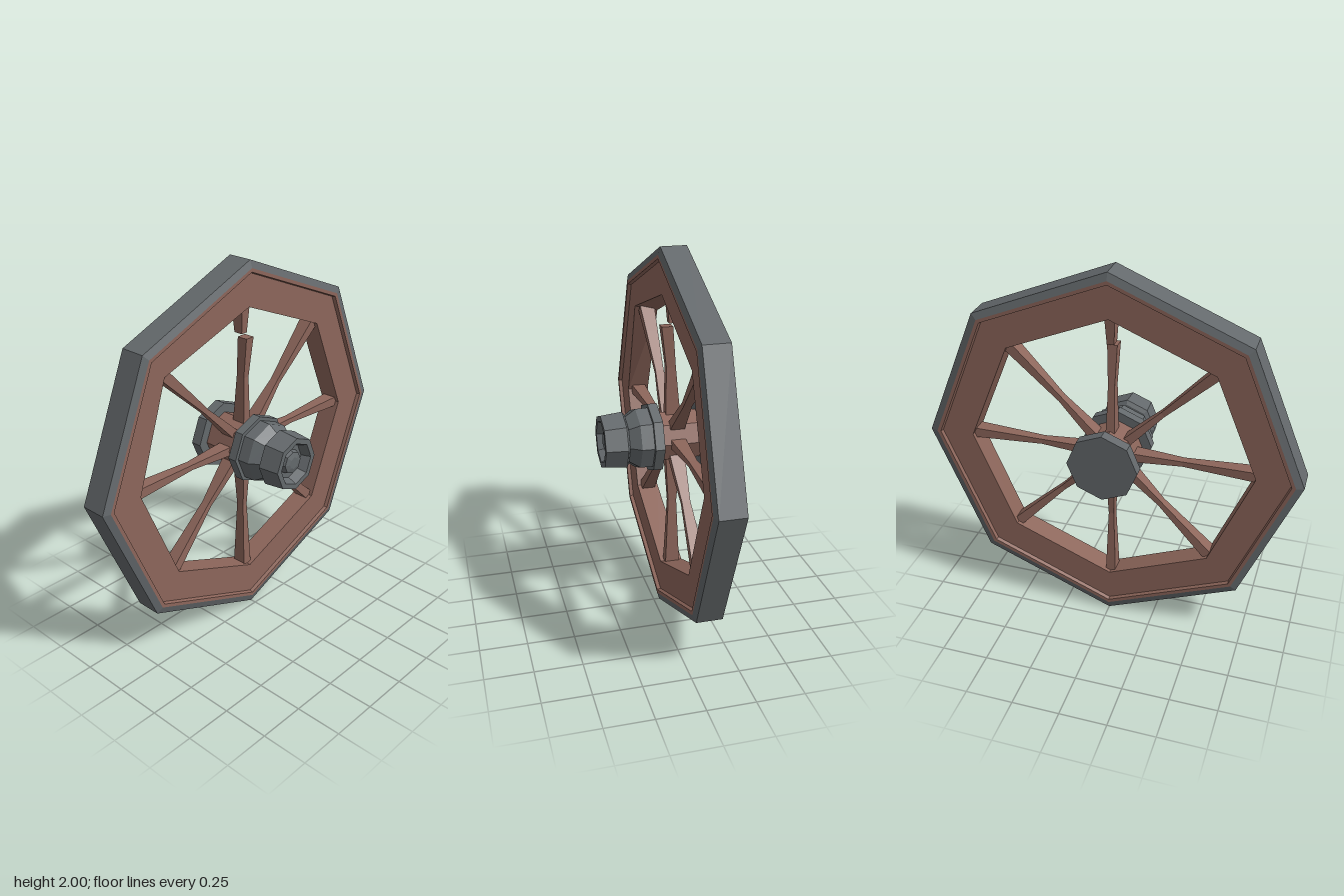
import * as THREE from 'three';

const AXIS_X = -0.1; // plane of the rim and spokes

export function createModel() {
  const wood = new THREE.MeshStandardMaterial({ color: 0x8d665b, flatShading: true });
  wood.name = 'wood';
  const iron = new THREE.MeshStandardMaterial({ color: 0x64696c, flatShading: true });
  iron.name = 'iron';

  const wheel = new THREE.Group();
  wheel.name = 'wheel';
  wheel.position.y = 1;

  const add = (name, geometry, material) => {
    const mesh = new THREE.Mesh(geometry, material);
    mesh.name = name;
    wheel.add(mesh);
    return mesh;
  };

  // Eight-sided turning about the x axis from [x, radius] pairs
  const turned = (profile) =>
    new THREE.LatheGeometry(profile.map(([x, r]) => new THREE.Vector2(r, x)), 8).rotateZ(-Math.PI / 2);

  // Bar along y from sections [radius, width, depth, sideways shift]
  const bar = (sections) => {
    const n = sections.length - 1;
    const geometry = new THREE.BoxGeometry(1, 1, 1, 1, n, 1);
    const p = geometry.attributes.position;
    for (let i = 0; i < p.count; i++) {
      const [r, w, d, shift = 0] = sections[Math.round((p.getY(i) + 0.5) * n)];
      p.setXYZ(i, AXIS_X + shift + p.getX(i) * d, r, p.getZ(i) * w);
    }
    geometry.computeVertexNormals();
    return geometry;
  };

  // Tyre with chamfered edges
  add('tyre', turned([[-0.18, 0.96], [-0.168, 1], [-0.032, 1], [-0.02, 0.96]]), iron);

  // Wooden rim with recessed side faces and one worn inner corner
  const rim = turned([
    [-0.02, 0.96], [-0.02, 0.94], [-0.04, 0.935], [-0.04, 0.76],
    [-0.16, 0.76], [-0.16, 0.935], [-0.18, 0.94], [-0.18, 0.96],
  ]);
  const p = rim.attributes.position;
  for (let i = 0; i < p.count; i++) {
    const y = p.getY(i), z = p.getZ(i);
    if (p.getX(i) > -0.05 && Math.hypot(y, z) < 0.8 && y > 0.3 && z > 0.3) {
      p.setY(i, y * 1.04);
      p.setZ(i, z * 1.07);
    }
  }
  add('rim', rim, wood);

  // Spokes, waisted in the middle
  const whole = [[0.1, 0.05, 0.08], [0.2, 0.042, 0.07], [0.38, 0.028, 0.045], [0.62, 0.045, 0.065], [0.78, 0.055, 0.08]];
  for (let k = 1; k < 8; k++) {
    add('spoke', bar(whole), wood).rotation.x = (k * Math.PI) / 4;
  }

  // Snapped top spoke: bent lower piece and a stub under the rim
  add('brokenSpoke', bar([
    [0.1, 0.05, 0.08], [0.2, 0.042, 0.07, 0.005], [0.38, 0.035, 0.05, 0.012], [0.6, 0.052, 0.06, 0.035],
  ]), wood);
  add('brokenSpokeStub', bar([[0.615, 0.037, 0.05], [0.78, 0.055, 0.08]]), wood);

  // Hub: wooden core, back cap, stepped front sleeve with hollow end
  add('hubCore', turned([[-0.23, 0.135], [-0.01, 0.135]]), wood);
  add('hubBackCap', turned([[-0.285, 0], [-0.285, 0.187], [-0.225, 0.187], [-0.225, 0.1]]), iron);
  add('hubFrontSleeve', turned([
    [-0.015, 0.1], [-0.015, 0.187], [0.035, 0.187], [0.035, 0.167], [0.1, 0.165], [0.157, 0.125],
    [0.157, 0.135], [0.17, 0.157], [0.285, 0.145], [0.285, 0.115], [0.235, 0.095],
    [0.235, 0.068], [0.262, 0.06], [0.27, 0.032], [0.27, 0],
  ]), iron);

  const model = new THREE.Group();
  model.name = 'cartWheel';
  model.add(wheel);
  return model;
}
